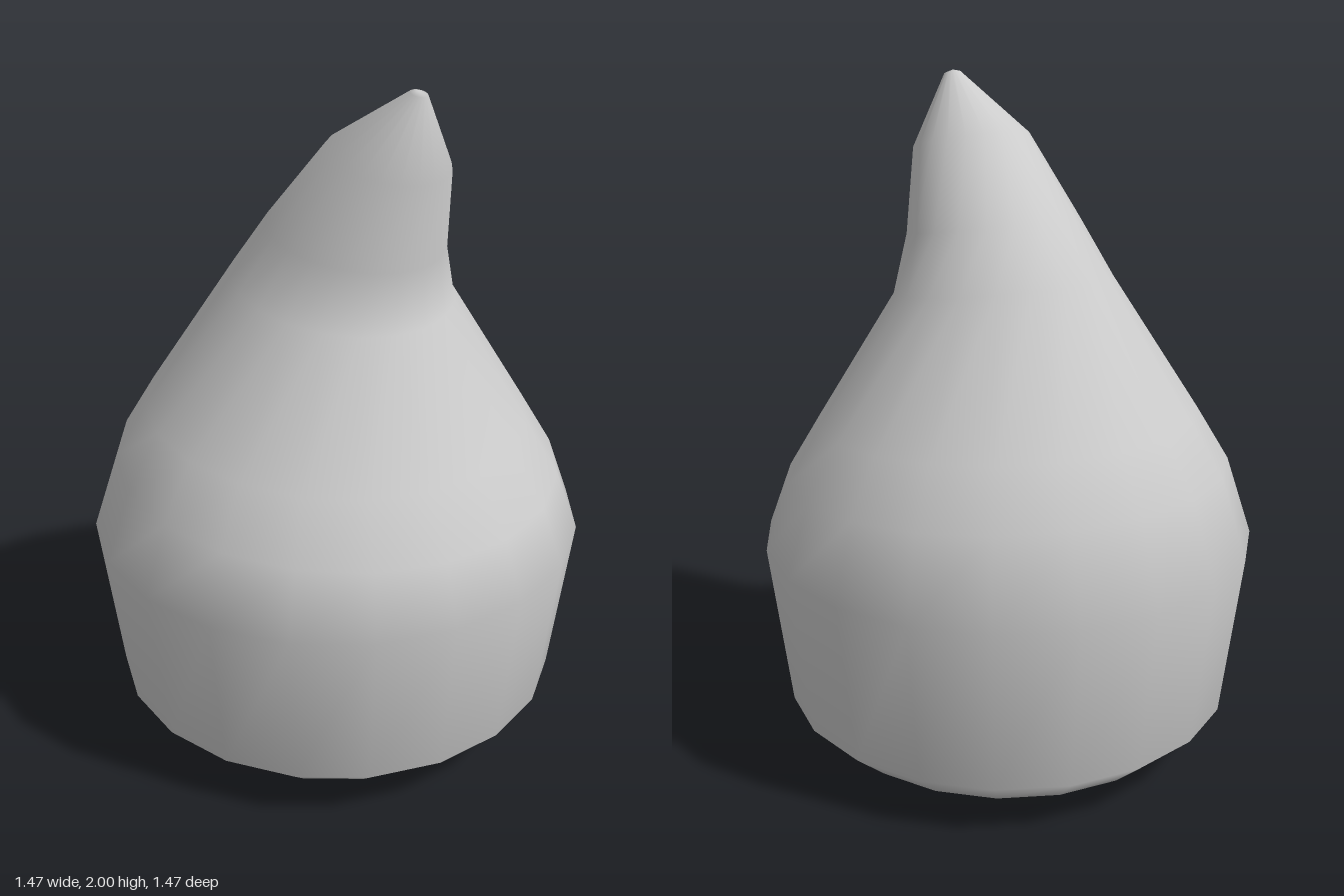
import * as THREE from 'three';

const SIDES = 20;

// Cross-sections from bottom to tip: centre x, centre y, radius, tilt (left edge rise), foot wave height
const RINGS = [
  [0, 0.003, 0.37, 0, 0.018],
  [0, 0.07, 0.57, 0, 0],
  [0, 0.165, 0.675, 0, 0],
  [0, 0.66, 0.733, 0, 0],
  [0.007, 0.87, 0.66, 0.04, 0],
  [0.005, 1.03, 0.563, 0.035, 0],
  [0.028, 1.41, 0.32, 0.05, 0],
  [0.082, 1.575, 0.252, 0.045, 0],
  [0.2, 1.808, 0.17, 0.038, 0],
  [0.302, 1.992, 0.024, 0.006, 0],
];

// Skin the rings into one smooth closed surface
function ringBody() {
  const pos = [];
  const index = [];
  for (const [cx, cy, r, tilt, wave] of RINGS) {
    for (let i = 0; i < SIDES; i++) {
      const a = (i / SIDES) * Math.PI * 2;
      // the lowest ring rises on the diagonals, leaving four shallow feet
      const lift = wave * Math.min(1, 1.6 * Math.sin(2 * a) ** 4);
      pos.push(cx + r * Math.cos(a), cy - tilt * Math.cos(a) + lift, r * Math.sin(a));
    }
  }
  const last = (RINGS.length - 1) * SIDES;
  const bottom = pos.length / 3;
  pos.push(0, 0.02, 0);
  const tip = bottom + 1;
  pos.push(0.298, 2, 0);

  for (let i = 0; i < SIDES; i++) {
    const j = (i + 1) % SIDES;
    for (let k = 0; k < last; k += SIDES) {
      const a = k + i, b = k + j, c = a + SIDES, d = b + SIDES;
      index.push(a, c, b, b, c, d);
    }
    index.push(bottom, i, j); // underside
    index.push(tip, last + j, last + i); // point
  }
  const geo = new THREE.BufferGeometry();
  geo.setAttribute('position', new THREE.Float32BufferAttribute(pos, 3));
  geo.setIndex(index);
  geo.computeVertexNormals();
  return geo;
}

export function createModel() {
  const group = new THREE.Group();
  group.name = 'droplet';
  const body = new THREE.Mesh(ringBody(), new THREE.MeshStandardMaterial({ color: 0xcccccc }));
  body.name = 'dropletBody';
  group.add(body);
  return group;
}
